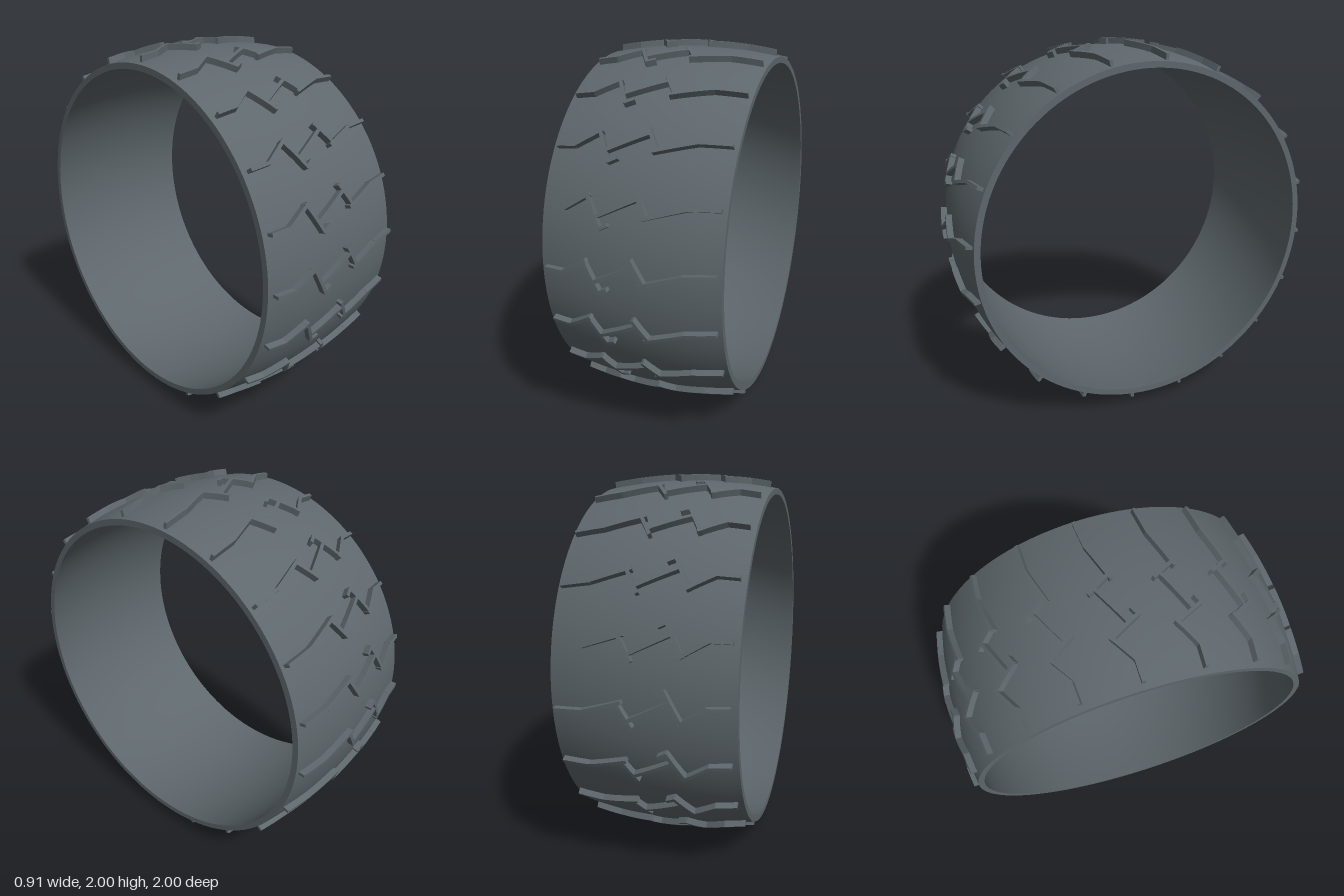
import * as THREE from 'three';
import { mergeGeometries, toCreasedNormals } from 'three/addons/utils/BufferGeometryUtils.js';

const HALF_WIDTH = 0.453;
const THICKNESS = 0.032;
const TREADS = 20;

// Crowned outer radius of the band across its width
const crown = (x) => 0.968 - 0.043 * (x / HALF_WIDTH) ** 2;

// Tread pattern: [across, around] polylines
const paths = [
  [[-0.42, 0.014], [-0.32, 0.016], [-0.195, 0.095]],  // outer wing
  [[-0.205, 0.095], [-0.126, -0.056], [-0.088, -0.036]], // first diagonal with foot
  [[-0.15, -0.004], [0.05, 0.097]],                   // middle link
  [[0.033, 0.128], [0.101, 0.014]],                   // second diagonal
  [[0.08, 0.01], [0.28, 0.076], [0.428, 0.09]],       // other wing
];

// Straight bar between two pattern points, bent onto the crowned band
function bar([x0, y0], [x1, y1]) {
  const width = 0.018, bottom = -0.012, top = 0.032;
  const length = Math.hypot(x1 - x0, y1 - y0) + width * 0.5;
  const g = new THREE.BoxGeometry(length, width, top - bottom, 6, 1, 1);
  g.rotateZ(Math.atan2(y1 - y0, x1 - x0));
  g.translate((x0 + x1) / 2, (y0 + y1) / 2, (top + bottom) / 2);
  const p = g.attributes.position;
  for (let i = 0; i < p.count; i++) {
    const x = p.getX(i), angle = p.getY(i) / 0.99, r = crown(x) + p.getZ(i);
    p.setXYZ(i, x, r * Math.sin(angle), r * Math.cos(angle));
  }
  g.computeVertexNormals();
  return g;
}

export function createModel() {
  const group = new THREE.Group();
  group.name = 'tire';
  const material = new THREE.MeshStandardMaterial({ color: 0x5e676c });

  const wheel = new THREE.Group();
  wheel.name = 'wheelBand';
  wheel.position.y = 1;
  group.add(wheel);

  // Band: thin crowned shell, curved inside and out
  const outer = [], inner = [];
  for (let i = 0; i <= 16; i++) {
    const x = HALF_WIDTH * (i / 8 - 1);
    outer.push(new THREE.Vector2(crown(x), x));
    inner.unshift(new THREE.Vector2(crown(x) - THICKNESS, x));
  }
  const profile = [...outer, ...inner, outer[0]];
  const bandGeometry = toCreasedNormals(new THREE.LatheGeometry(profile, 120), 0.6);
  bandGeometry.rotateZ(Math.PI / 2);
  const band = new THREE.Mesh(bandGeometry, material);
  band.name = 'band';
  wheel.add(band);

  // Zigzag treads repeated around the band
  const bars = paths.flatMap((path) => path.slice(1).map((end, i) => bar(path[i], end)));
  const treadGeometry = mergeGeometries(bars);
  for (let i = 0; i < TREADS; i++) {
    const tread = new THREE.Mesh(treadGeometry, material);
    tread.name = `tread${i + 1}`;
    tread.rotation.x = (i / TREADS) * Math.PI * 2;
    wheel.add(tread);
  }
  return group;
}
